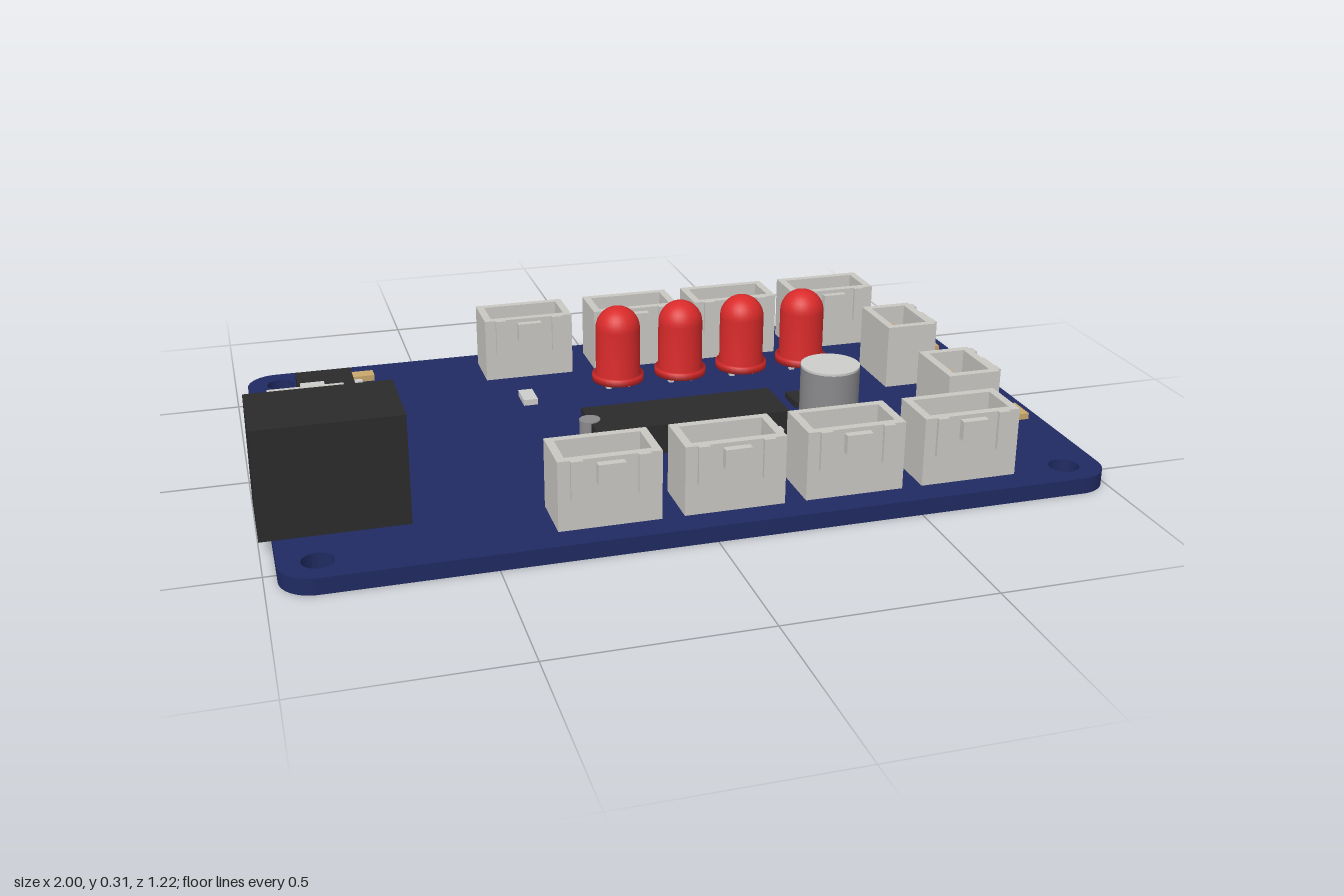
import * as THREE from 'three';

const mat = (name, color) => {
  const m = new THREE.MeshStandardMaterial({ color });
  m.name = name;
  return m;
};

export function createModel() {
  const navy = mat('board navy', 0x202b62);
  const ivory = mat('connector ivory', 0xcac8c3);
  const black = mat('plastic black', 0x2b2b2b);
  const red = mat('lamp red', 0xd92a2a);
  const gold = mat('contact gold', 0xc9a86c);
  const grey = mat('metal grey', 0x8a8a8d);
  const silver = mat('solder silver', 0xcdcdcb);

  const model = new THREE.Group();
  model.name = 'circuitBoard';
  const TOP = 0.04;

  const add = (parent, name, geo, material, x = 0, y = 0, z = 0) => {
    const m = new THREE.Mesh(geo, material);
    m.name = name;
    m.position.set(x, y, z);
    parent.add(m);
    return m;
  };
  // Box given by its centre in x and z and its lower and upper heights
  const box = (parent, name, material, x, z, w, d, y0, y1) =>
    add(parent, name, new THREE.BoxGeometry(w, y1 - y0, d), material, x, (y0 + y1) / 2, z);
  const group = (name, x, z, turn = 0) => {
    const g = new THREE.Group();
    g.name = name;
    g.position.set(x, 0, z);
    g.rotation.y = turn;
    model.add(g);
    return g;
  };
  const upright = (shape, depth) =>
    new THREE.ExtrudeGeometry(shape, { depth, bevelEnabled: false, curveSegments: 10 }).rotateX(-Math.PI / 2);

  // Board with rounded corners and four screw holes
  const l = -0.97, r = 1, h = 0.612, c = 0.08;
  const outline = new THREE.Shape();
  outline.absarc(r - c, h - c, c, 0, Math.PI / 2);
  outline.absarc(l + c, h - c, c, Math.PI / 2, Math.PI);
  outline.absarc(l + c, -h + c, c, Math.PI, Math.PI * 1.5);
  outline.absarc(r - c, -h + c, c, Math.PI * 1.5, Math.PI * 2);
  for (const x of [-0.882, 0.908]) for (const z of [-0.532, 0.532]) {
    const hole = new THREE.Path();
    hole.absarc(x, z, 0.037, 0, Math.PI * 2, true);
    outline.holes.push(hole);
  }
  add(model, 'board', upright(outline, TOP), navy);

  // Power socket
  box(model, 'powerSocket', black, -0.83, 0.302, 0.34, 0.22, TOP, 0.306);

  // Open-topped pin header; its keyed side faces local +z
  const connector = (pins, x, z, turn) => {
    const g = group('connector' + pins + 'Pin', x, z, turn);
    const w = 0.06 * pins + 0.062, d = 0.137, t = 0.02;
    const rect = (S, a, b) => new S([
      new THREE.Vector2(-a, -b), new THREE.Vector2(a, -b),
      new THREE.Vector2(a, b), new THREE.Vector2(-a, b)]);
    const wall = rect(THREE.Shape, w / 2, d / 2);
    wall.holes.push(rect(THREE.Path, w / 2 - t, d / 2 - t));
    add(g, 'housing', upright(wall, 0.21 - TOP), ivory, 0, TOP, 0);
    box(g, 'housingFloor', ivory, 0, 0, w - 2 * t, d - 2 * t, TOP, 0.075);
    const ribX = pins === 3 ? 0.078 : 0.065;
    for (const s of [-1, 1]) box(g, 'rib', ivory, s * ribX, d / 2 + 0.004, 0.028, 0.01, 0.115, 0.21);
    box(g, 'key', ivory, 0, d / 2 + 0.009, 0.064, 0.02, 0.152, 0.2);
    for (let i = 0; i < pins; i++)
      box(g, 'pin', gold, (i - (pins - 1) / 2) * 0.063, -0.01, 0.016, 0.016, 0.07, 0.175);
  };
  for (const x of [-0.213, 0.093, 0.383, 0.68]) connector(3, x, -0.477, 0);
  for (const x of [-0.233, 0.062, 0.356, 0.648]) connector(3, x, 0.474, 0);
  for (const [x, z] of [[0.77, -0.154], [0.77, 0.216], [-0.82, 0.025]]) connector(2, x, z, Math.PI / 2);

  // Lamps: flange, barrel and dome in one lathe, on two legs
  const profile = [[0, 0.066], [0.07, 0.066], [0.07, 0.084], [0.06, 0.084]].map(p => new THREE.Vector2(...p));
  for (let i = 0; i <= 8; i++) {
    const a = i / 8 * Math.PI / 2;
    profile.push(new THREE.Vector2(0.06 * Math.cos(a), 0.212 + 0.06 * Math.sin(a)));
  }
  const lampGeo = new THREE.LatheGeometry(profile, 28);
  for (const x of [0, 0.176, 0.352, 0.528]) {
    const g = group('lamp', x, -0.262);
    add(g, 'lens', lampGeo, red);
    for (const s of [-1, 1]) box(g, 'leg', silver, s * 0.026, 0, 0.014, 0.014, TOP, 0.07);
  }

  // Main chip with seven bent legs on each long side
  const chip = group('chip', 0.064, 0.146);
  box(chip, 'chipBody', black, 0, 0, 0.494, 0.16, 0.055, 0.13);
  add(chip, 'chipNotch', new THREE.CylinderGeometry(0.026, 0.026, 0.076, 20), grey, -0.245, 0.0945, 0);
  for (let i = 0; i < 7; i++) for (const s of [-1, 1]) {
    const x = (i - 3) * 0.0685 + 0.012;
    box(chip, 'legShoulder', silver, x, s * 0.09, 0.014, 0.022, 0.08, 0.092);
    box(chip, 'legDrop', silver, x, s * 0.1, 0.014, 0.01, TOP, 0.092);
    box(chip, 'legFoot', silver, x, s * 0.105, 0.014, 0.018, TOP, 0.05);
  }

  // Can capacitor with a pale cap
  const can = group('capacitor', 0.448, 0.146);
  add(can, 'can', new THREE.CylinderGeometry(0.075, 0.075, 0.165, 28), grey, 0, 0.1225, 0);
  add(can, 'canTop', new THREE.CylinderGeometry(0.075, 0.075, 0.006, 28), silver, 0, 0.208, 0);

  // Voltage regulator with a heat tab and two legs
  const reg = group('regulator', -0.772, -0.386);
  box(reg, 'regulatorBody', black, 0, 0, 0.147, 0.152, 0.045, 0.097);
  box(reg, 'heatTab', silver, -0.113, 0, 0.08, 0.14, TOP, 0.058);
  for (const s of [-1, 1]) box(reg, 'regulatorLeg', silver, 0.087, s * 0.056, 0.03, 0.018, TOP, 0.065);

  // Push button
  const button = group('pushButton', -0.818, -0.188);
  box(button, 'buttonBase', grey, 0, 0, 0.143, 0.14, TOP, 0.13);
  box(button, 'plunger', silver, 0, 0, 0.06, 0.06, 0.13, 0.16);

  // Small surface parts: x, z, width, depth, colour
  const chips = [
    [-0.67, -0.513, 0.077, 0.04, gold], [-0.681, -0.246, 0.038, 0.075, gold],
    [0.944, -0.318, 0.038, 0.075, gold], [0.948, 0.208, 0.038, 0.075, gold],
    [-0.687, -0.1, 0.038, 0.077, black], [0.43, -0.029, 0.038, 0.077, black],
    [-0.255, -0.238, 0.038, 0.075, silver]];
  for (const [x, z, w, d, m] of chips) box(model, 'surfacePart', m, x, z, w, d, TOP, 0.056);

  return model;
}
